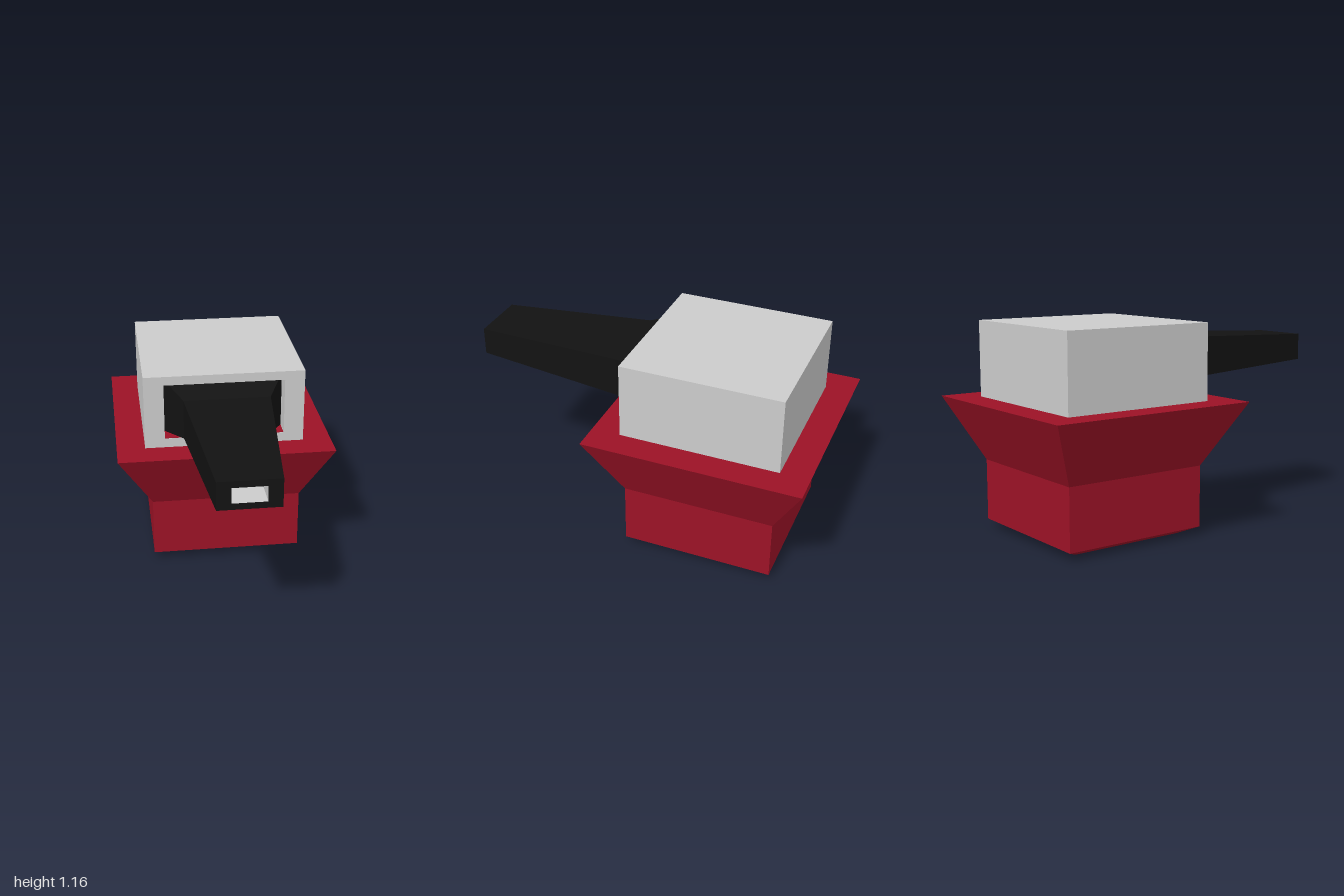
import * as THREE from 'three';

const material = (color) => new THREE.MeshStandardMaterial({ color, flatShading: true });

// Loft of rectangles stacked along y; each section is [y, x0, x1, z0, z1]
function rectLoft(sections, capStart, capEnd) {
  const rings = sections.map(([y, x0, x1, z0, z1]) => [[x0, y, z1], [x1, y, z1], [x1, y, z0], [x0, y, z0]]);
  const pos = [];
  const quad = (a, b, c, d) => pos.push(...a, ...b, ...c, ...a, ...c, ...d);
  for (let k = 0; k < rings.length - 1; k++) {
    for (let i = 0; i < 4; i++) {
      const j = (i + 1) % 4;
      quad(rings[k][i], rings[k][j], rings[k + 1][j], rings[k + 1][i]);
    }
  }
  if (capStart) quad(...[...rings[0]].reverse());
  if (capEnd) quad(...rings[rings.length - 1]);
  const geometry = new THREE.BufferGeometry();
  geometry.setAttribute('position', new THREE.Float32BufferAttribute(pos, 3));
  geometry.computeVertexNormals();
  return geometry;
}

// Rectangle section centred on x = 0, for parts that run along z
const section = (z, halfX, y0, y1) => [z, -halfX, halfX, -y1, -y0];

export function createModel() {
  const model = new THREE.Group();
  const grey = material(0xcccccc);
  const red = material(0x9c1226);
  const black = material(0x121212);

  const add = (name, geometry, mat, x = 0, y = 0, z = 0) => {
    const mesh = new THREE.Mesh(geometry, mat);
    mesh.name = name;
    mesh.position.set(x, y, z);
    model.add(mesh);
    return mesh;
  };

  // Base with bevelled foot and flared rim
  add('base', rectLoft([
    [0, -0.315, 0.34, -0.725, -0.07],
    [0.045, -0.41, 0.435, -0.82, 0.02],
    [0.385, -0.41, 0.435, -0.82, 0.02],
    [0.74, -0.6, 0.6, -1, 0.2],
  ], true, true), red);

  // Housing body behind the front frame
  add('housing', new THREE.BoxGeometry(0.885, 0.42, 0.78), grey, 0, 0.95, -0.45);

  // Front frame with a rectangular opening
  const rect = (path, hx, y0, y1) =>
    path.moveTo(-hx, y0).lineTo(hx, y0).lineTo(hx, y1).lineTo(-hx, y1).closePath();
  const frame = rect(new THREE.Shape(), 0.4425, 0.74, 1.16);
  frame.holes.push(rect(new THREE.Path(), 0.332, 0.793, 1.11));
  add('housingFrame', new THREE.ExtrudeGeometry(frame, { depth: 0.1, bevelEnabled: false }), grey, 0, 0, -0.06);

  // Sill lining the floor of the opening
  add('openingSill', new THREE.BoxGeometry(0.66, 0.006, 0.098), red, 0, 0.793, -0.011);

  // Tapered nozzle, flared inside the opening, ending in a flat rim
  add('nozzle', rectLoft([
    section(-0.06, 0.331, 0.795, 1.109),
    section(0.15, 0.235, 0.842, 1.064),
    section(1, 0.16, 0.877, 1.03),
    section(1, 0.087, 0.911, 0.994),
  ], true, false).rotateX(Math.PI / 2), black);

  // Pocket in the nozzle tip
  add('nozzleBore', rectLoft([
    section(1, 0.087, 0.911, 0.994),
    section(0.6, 0.087, 0.911, 0.994),
  ], false, true).rotateX(Math.PI / 2), grey);

  return model;
}
